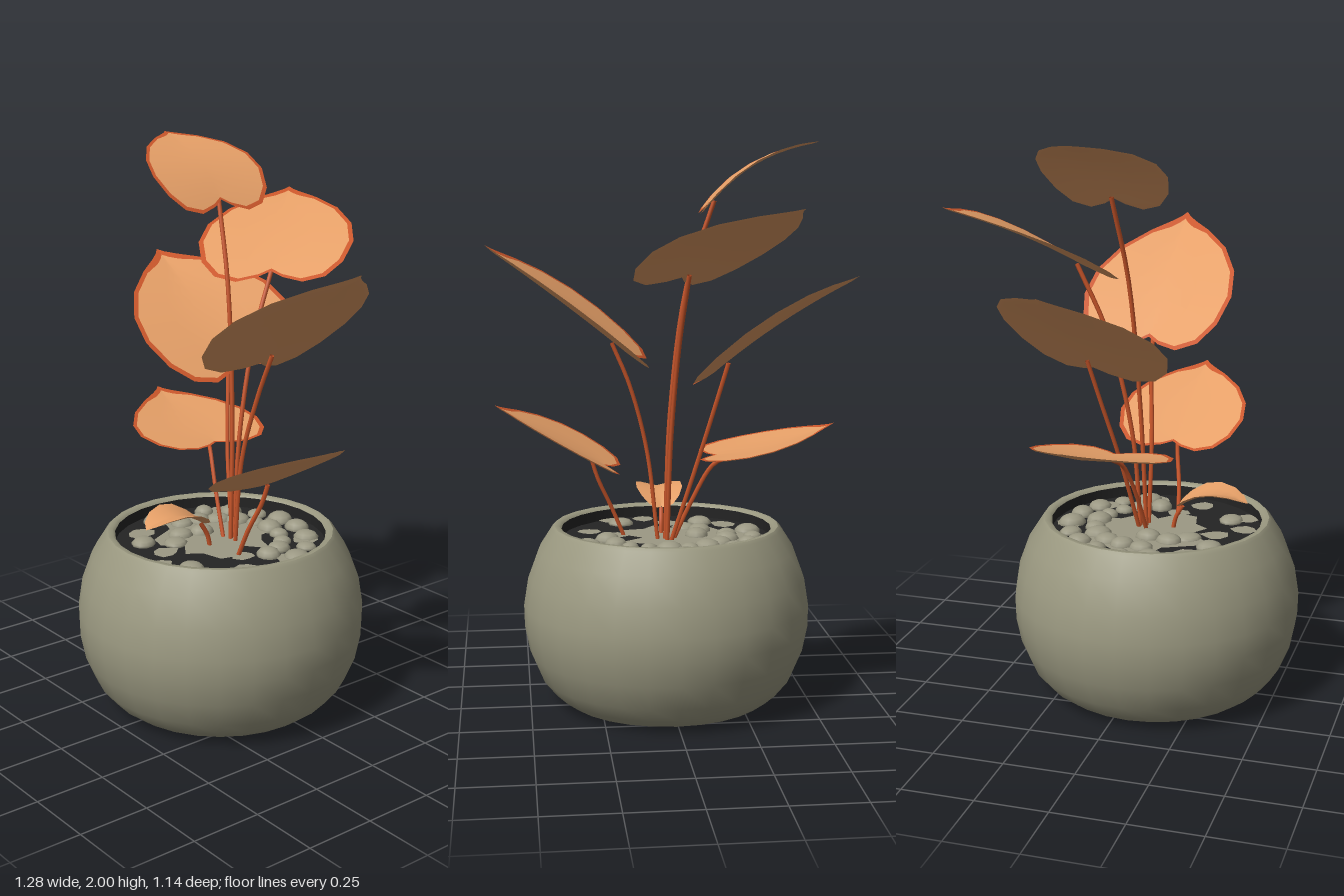
import * as THREE from 'three';

const mat = (name, color, side = THREE.FrontSide) => {
  const m = new THREE.MeshStandardMaterial({ color, side });
  m.name = name;
  return m;
};
const V = (a) => new THREE.Vector3(...a);

// Half outlines of a leaf: [along the midrib, across], notch to tip
const HEART = [[0, 0], [-0.06, 0.16], [-0.11, 0.42], [-0.07, 0.7], [0.06, 0.9], [0.26, 1], [0.46, 0.94],
  [0.66, 0.72], [0.82, 0.4], [0.91, 0.17], [0.96, 0.06], [1, 0]];
const OVAL = [[0, 0], [-0.03, 0.2], [0, 0.5], [0.12, 0.8], [0.32, 1], [0.55, 0.97], [0.78, 0.74], [0.93, 0.4], [1, 0]];
const COLS = [-2, -1, -0.5, 0, 0.5, 1, 2]; // 1 is the inside of the rim, 2 the outline

// Leaf: a thin closed shell; rows follow the outline, columns run from edge to midrib to edge
function leafGeometries({ notch, tip, width, fold, curve, roll = 0, outline = HEART, attach = 0.12 }) {
  const base = V(notch), axis = V(tip).sub(base), len = axis.length();
  axis.normalize();
  const side = new THREE.Vector3().crossVectors(axis, new THREE.Vector3(0, 1, 0)).normalize();
  side.applyAxisAngle(axis, roll);
  const up = new THREE.Vector3().crossVectors(side, axis);
  const n = outline.length - 1, mid = 0.4, w = COLS.length;
  const place = (s, t) => base.clone()
    .addScaledVector(axis, s * len)
    .addScaledVector(side, t * width)
    .addScaledVector(up, fold * Math.abs(t) * width + curve * 4 * s * (1 - s) * len);
  const points = (thickness) => outline.flatMap(([s, t], i) => COLS.flatMap((c) => {
    const k = Math.min(Math.abs(c), 1), sign = Math.sign(c);
    if (Math.abs(c) === 2) return place(s, t * sign).toArray();
    const rim = s > 0.9 ? 0.1 : 0.06;
    const inS = s + (mid - s) * rim, inT = t * (1 - rim);
    const spine = THREE.MathUtils.lerp(mid * 0.06, 1 - (1 - mid) * 0.1, (i / n) ** 1.2);
    return place(spine + (inS - spine) * k, inT * k * sign).addScaledVector(up, -thickness).toArray();
  }));
  const face = [], edge = [];
  for (let i = 0; i < n; i++) for (let j = 0; j < w - 1; j++) {
    const a = i * w + j, b = a + 1, c = a + w, d = c + 1;
    (j === 0 || j === w - 2 ? edge : face).push(a, b, c, b, d, c);
  }
  const build = (pos, index) => {
    const g = new THREE.BufferGeometry();
    g.setAttribute('position', new THREE.Float32BufferAttribute(pos, 3));
    g.setIndex(index);
    g.computeVertexNormals();
    return g;
  };
  const top = build(points(0), [...face, ...edge]);
  top.addGroup(0, face.length, 0);
  top.addGroup(face.length, edge.length, 1);
  const under = build(points(0.004), [...face, ...edge].reverse());
  return { top, under, stemEnd: place(attach, 0).addScaledVector(up, -0.01) };
}

const LEAVES = [
  { name: 'topLeaf', notch: [-0.13, 1.79, -0.055], tip: [-0.505, 1.995, -0.09], width: 0.225, fold: 0.03, curve: 0.095,
    attach: 0.04, stem: [[0.015, 0.58, 0.02], [0, 1.05, 0], [-0.055, 1.5, -0.025]] },
  { name: 'backLeaf', notch: [-0.02, 1.54, -0.19], tip: [-0.365, 1.77, -0.57], width: 0.28, fold: 0.05, curve: 0.03,
    roll: -0.04, attach: 0.06, stem: [[0.01, 0.58, 0], [0, 0.95, -0.03], [-0.02, 1.3, -0.11]] },
  { name: 'leftLeaf', notch: [0.14, 1.265, -0.01], tip: [0.64, 1.645, 0], width: 0.28, fold: 0.13, curve: 0.01,
    roll: -0.05, stem: [[0.04, 0.58, 0.02], [0.08, 0.92, 0.02], [0.14, 1.15, 0]] },
  { name: 'rightLeaf', notch: [-0.125, 1.205, -0.13], tip: [-0.64, 1.54, -0.145], width: 0.305, fold: 0.1, curve: 0.03,
    roll: -0.16, stem: [[0, 0.58, 0], [-0.09, 0.88, -0.05], [-0.15, 1.1, -0.1]] },
  { name: 'lowRightLeaf', notch: [-0.15, 0.91, -0.045], tip: [-0.57, 1.025, -0.09], width: 0.25, fold: 0.06, curve: -0.04,
    stem: [[-0.01, 0.58, 0.03], [-0.08, 0.74, 0.01], [-0.15, 0.87, -0.02]] },
  { name: 'lowLeftLeaf', notch: [0.22, 0.86, 0.06], tip: [0.615, 1.08, 0.09], width: 0.24, fold: 0.11, curve: 0,
    stem: [[0.15, 0.58, 0.1], [0.2, 0.7, 0.09], [0.25, 0.81, 0.07]] },
  { name: 'youngLeaf', notch: [0.015, 0.69, 0.145], tip: [0.015, 0.715, 0.39], width: 0.085, fold: 0.25, curve: 0.15,
    outline: OVAL, plain: true, attach: 0.03, stem: [[0.02, 0.58, 0.115], [0.018, 0.64, 0.128]] },
];

export function createModel() {
  const clay = mat('clay', 0x9a9880);
  const soilMat = mat('soil', 0x242424);
  const stone = mat('stone', 0x9c9984);
  const blade = mat('leaf orange', 0xe59f67);
  const rust = mat('rust edge', 0xca562a, THREE.DoubleSide);

  const model = new THREE.Group();
  const add = (parent, name, geo, material) => {
    const m = new THREE.Mesh(geo, material);
    m.name = name;
    parent.add(m);
    return m;
  };

  // Rounded bowl with a thin lip
  const pot = new THREE.Group();
  pot.name = 'pot';
  pot.position.set(0.007, 0, 0.06);
  model.add(pot);
  const lathe = (pts) => new THREE.LatheGeometry(pts.map(([r, y]) => new THREE.Vector2(r, y)), 28);
  add(pot, 'bowl', lathe([[0, 0], [0.32, 0], [0.365, 0.012], [0.41, 0.045], [0.455, 0.1], [0.493, 0.19], [0.511, 0.28],
    [0.513, 0.36], [0.497, 0.46], [0.46, 0.56], [0.412, 0.635], [0.402, 0.645]]), clay);
  add(pot, 'lip', lathe([[0.402, 0.645], [0.385, 0.645], [0.376, 0.635]]), clay);
  add(pot, 'innerWall', lathe([[0.376, 0.635], [0.378, 0.59]]), soilMat);
  const soil = add(pot, 'soil', new THREE.CircleGeometry(0.379, 28), soilMat);
  soil.rotation.x = -Math.PI / 2;
  soil.position.y = 0.595;

  // Gravel: uneven flat patches, a large one in the middle
  let seed = 7;
  const rand = () => (seed = (seed * 16807) % 2147483647) / 2147483647;
  const addPatch = (x, z, radius, points) => {
    const shape = new THREE.Shape();
    for (let i = 0; i < points; i++) {
      const a = (i / points) * Math.PI * 2, r = radius * (0.7 + rand() * 0.5);
      shape[i ? 'lineTo' : 'moveTo'](r * Math.cos(a), r * Math.sin(a));
    }
    const m = add(pot, 'gravelPatch', new THREE.ShapeGeometry(shape), stone);
    m.rotation.x = -Math.PI / 2;
    m.position.set(x, 0.6, z);
  };
  addPatch(-0.06, -0.02, 0.21, 22);
  for (const [x, z] of [[-0.23, 0.18], [0.055, 0.31], [0.17, 0.29], [-0.03, 0.22], [0.27, 0.1], [0.29, -0.08],
    [0.18, -0.24], [-0.04, -0.31], [-0.3, -0.02], [-0.24, -0.2], [0.17, 0.03]]) addPatch(x, z, 0.048, 8);

  // Half-buried rounded pebbles
  const pebbleGeo = new THREE.SphereGeometry(1, 10, 7);
  const addPebble = (x, z, s) => {
    const p = add(pot, 'pebble', pebbleGeo, stone);
    p.position.set(x, 0.598, z);
    p.scale.set(s * 1.1, s * (0.45 + rand() * 0.3), s);
    p.rotation.y = rand() * 6;
  };
  for (const [x, z] of [[-0.13, 0.08], [-0.11, 0], [-0.15, 0.23], [0.145, 0.24], [-0.08, 0.14]]) addPebble(x, z, 0.043);
  for (let i = 0; i < 20; i++) {
    const a = -0.2 - (i / 20) * 3.3, r = i % 2 ? 0.31 : 0.22;
    addPebble(r * Math.cos(a), r * Math.sin(a), 0.03 + rand() * 0.018);
  }

  // Leaves on slender stems
  for (const spec of LEAVES) {
    const leaf = new THREE.Group();
    leaf.name = spec.name;
    const { top, under, stemEnd } = leafGeometries(spec);
    add(leaf, 'leafTop', top, [blade, spec.plain ? blade : rust]);
    add(leaf, 'leafUnderside', under, blade);
    const path = new THREE.CatmullRomCurve3([...spec.stem.map(V), stemEnd]);
    add(leaf, 'stem', new THREE.TubeGeometry(path, 16, 0.008, 6), rust);
    model.add(leaf);
  }
  return model;
}
